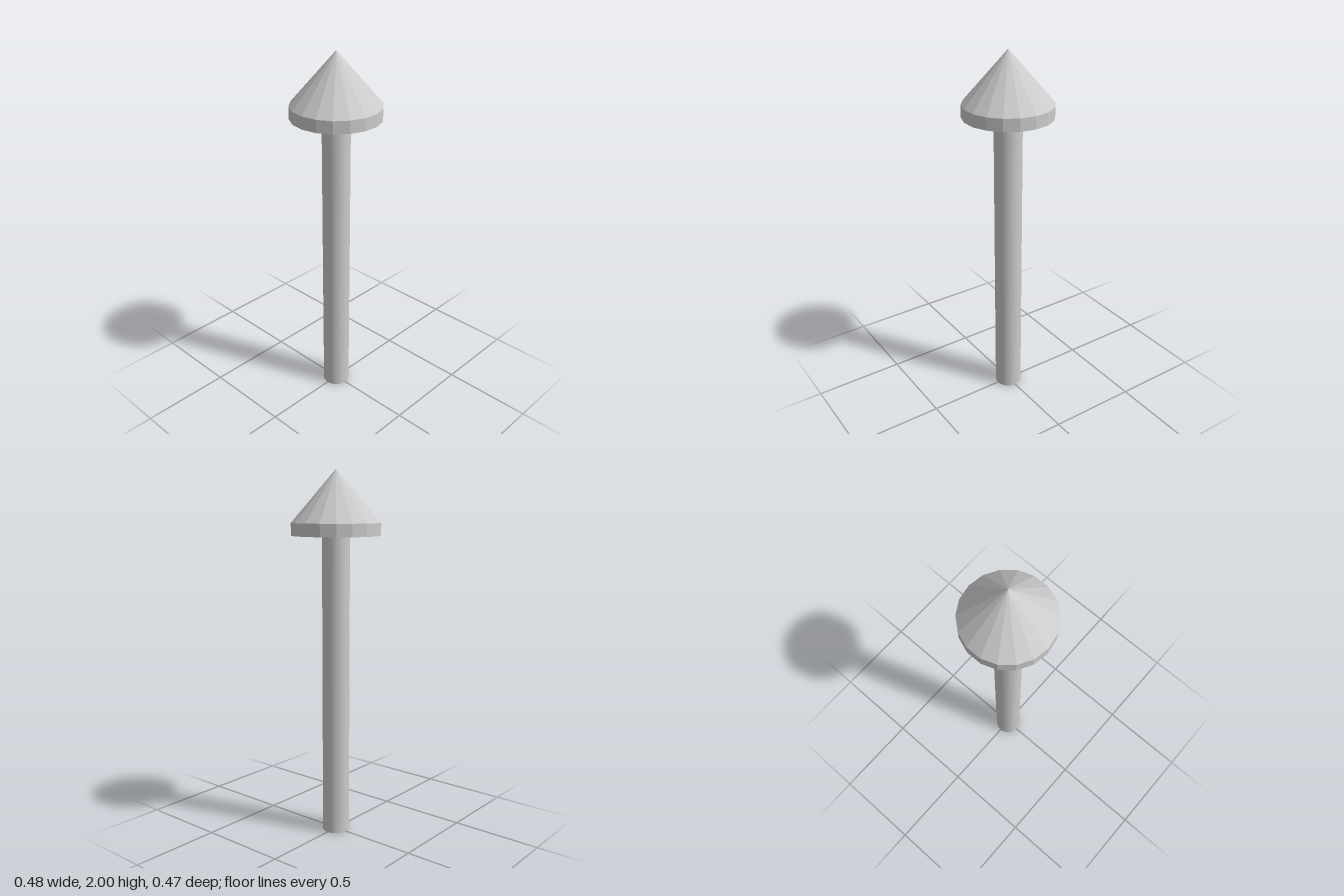
import * as THREE from 'three';

const SIDES = 18;
const RIM_BOTTOM = 1.657, RIM_TOP = 1.724, TOP = 2;

export function createModel() {
  const group = new THREE.Group();
  const smooth = new THREE.MeshStandardMaterial({ color: 0xcccccc });
  const faceted = new THREE.MeshStandardMaterial({ color: 0xcccccc, flatShading: true });

  // Adds an upright round part between two heights, with a corner on the x axis
  function addRound(name, rTop, rBottom, y0, y1, material, open = false) {
    const geometry = new THREE.CylinderGeometry(rTop, rBottom, y1 - y0, SIDES, 1, open, Math.PI / 2);
    const mesh = new THREE.Mesh(geometry, material);
    mesh.name = name;
    mesh.position.y = (y0 + y1) / 2;
    group.add(mesh);
  }

  // Smooth round post
  addRound('shaft', 0.075, 0.075, 0, RIM_BOTTOM, smooth);
  // Faceted head: a short rim with a pointed cone on top
  addRound('headRim', 0.24, 0.24, RIM_BOTTOM, RIM_TOP, faceted);
  addRound('headCone', 0, 0.24, RIM_TOP, TOP, faceted, true);

  return group;
}
